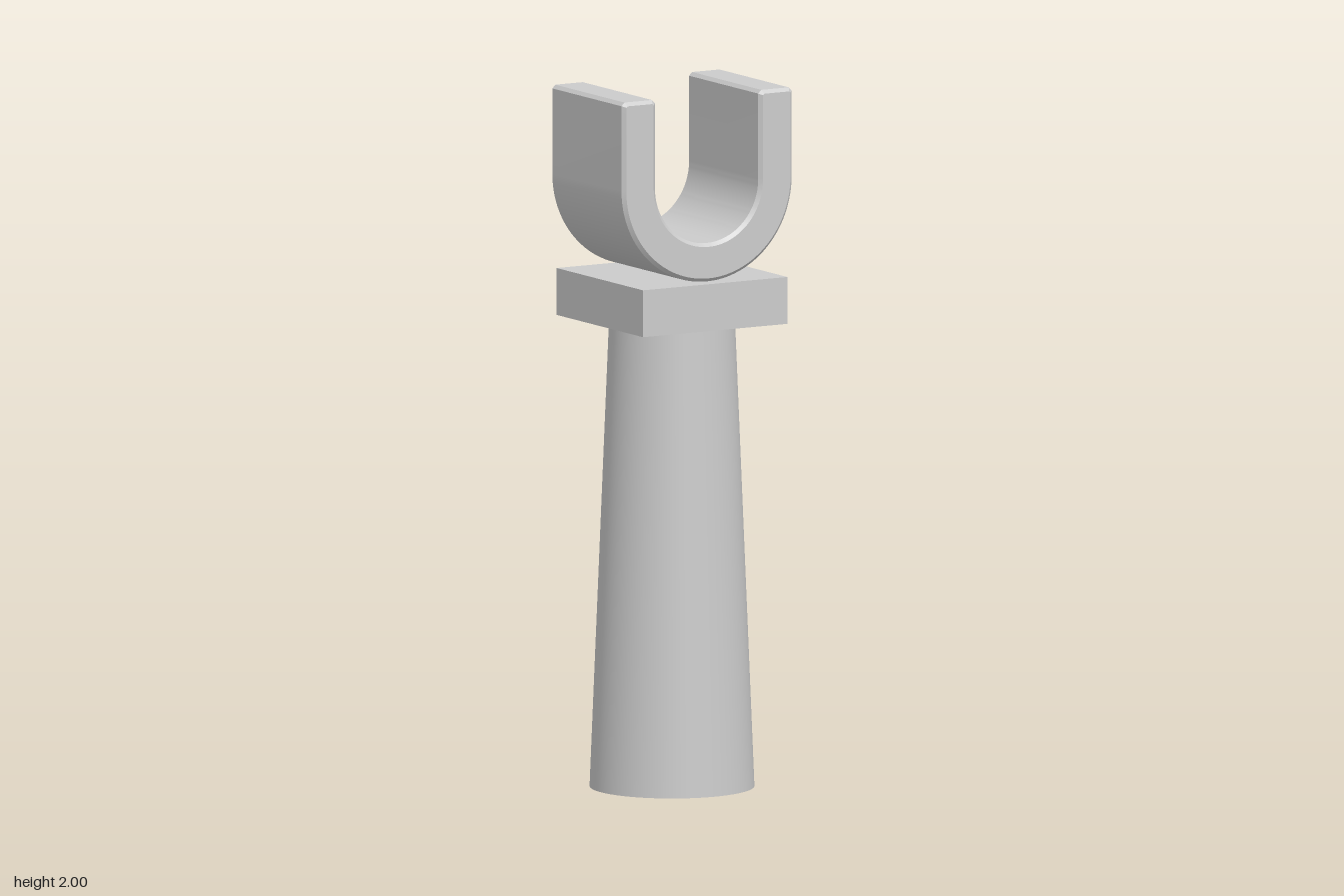
import * as THREE from 'three';
import { toCreasedNormals } from 'three/addons/utils/BufferGeometryUtils.js';

const SLAB_BOTTOM = 1.333, SLAB_TOP = 1.467, TOP = 2;
const OUTER = 0.28, INNER = 0.17, BEVEL = 0.01, HALF_DEPTH = 0.2;

export function createModel() {
  const group = new THREE.Group();
  const grey = new THREE.MeshStandardMaterial({ color: 0xcccccc });
  const greyOpen = new THREE.MeshStandardMaterial({ color: 0xcccccc, side: THREE.DoubleSide });

  const add = (name, geometry, material, y = 0) => {
    const mesh = new THREE.Mesh(geometry, material);
    mesh.name = name;
    mesh.position.y = y;
    group.add(mesh);
  };

  // Tapered hollow column, open at the foot
  add('column', new THREE.CylinderGeometry(0.178, 0.233, SLAB_BOTTOM, 64, 1, true), greyOpen, SLAB_BOTTOM / 2);

  // Square slab on top of the column
  add('slab', new THREE.BoxGeometry(0.475, SLAB_TOP - SLAB_BOTTOM, 0.475), grey, (SLAB_TOP + SLAB_BOTTOM) / 2);

  // U-shaped cradle: outline is inset by the bevel, with clipped tips
  const ro = OUTER - BEVEL, ri = INNER + BEVEL;
  const centre = SLAB_TOP + OUTER;
  const tip = TOP - BEVEL, clip = 0.004;
  const outline = new THREE.Shape();
  outline.moveTo(-ro, tip - clip);
  outline.lineTo(-ro, centre);
  outline.absarc(0, centre, ro, Math.PI, 2 * Math.PI, false);
  outline.lineTo(ro, tip - clip);
  outline.lineTo(ro - clip, tip);
  outline.lineTo(ri + clip, tip);
  outline.lineTo(ri, tip - clip);
  outline.lineTo(ri, centre);
  outline.absarc(0, centre, ri, 0, -Math.PI, true);
  outline.lineTo(-ri, tip - clip);
  outline.lineTo(-ri - clip, tip);
  outline.lineTo(-ro + clip, tip);
  outline.closePath();

  const cradle = new THREE.ExtrudeGeometry(outline, {
    depth: 2 * (HALF_DEPTH - BEVEL),
    bevelEnabled: true,
    bevelThickness: BEVEL,
    bevelSize: BEVEL,
    bevelSegments: 1,
    curveSegments: 32,
  });
  cradle.translate(0, 0, BEVEL - HALF_DEPTH);
  add('cradle', toCreasedNormals(cradle, 0.4), grey);

  return group;
}
